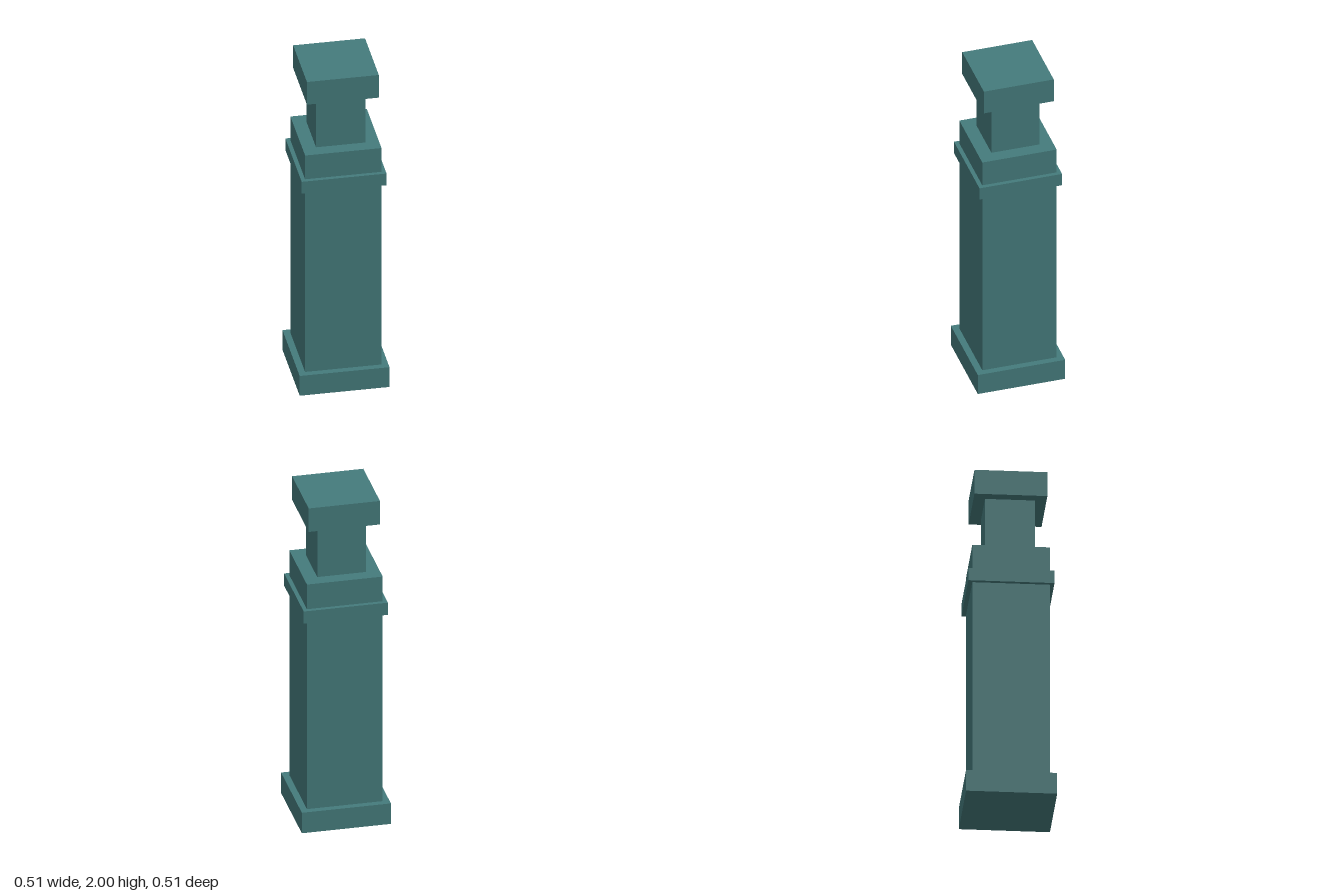
import * as THREE from 'three';

// Square tiers stacked bottom to top: name, width, bottom y, top y
const TIERS = [
  ['base', 0.51, 0, 0.128],
  ['shaft', 0.434, 0.128, 1.302],
  ['collarBand', 0.482, 1.302, 1.378],
  ['shaftTop', 0.434, 1.378, 1.532],
  ['neck', 0.28, 1.532, 1.853],
  ['cap', 0.408, 1.853, 2],
];

export function createModel() {
  const group = new THREE.Group();
  group.name = 'pillar';
  const teal = new THREE.MeshStandardMaterial({ color: 0x457b7c });
  teal.name = 'teal';

  for (const [name, width, bottom, top] of TIERS) {
    const tier = new THREE.Mesh(new THREE.BoxGeometry(width, top - bottom, width), teal);
    tier.name = name;
    tier.position.y = (bottom + top) / 2;
    group.add(tier);
  }
  return group;
}
